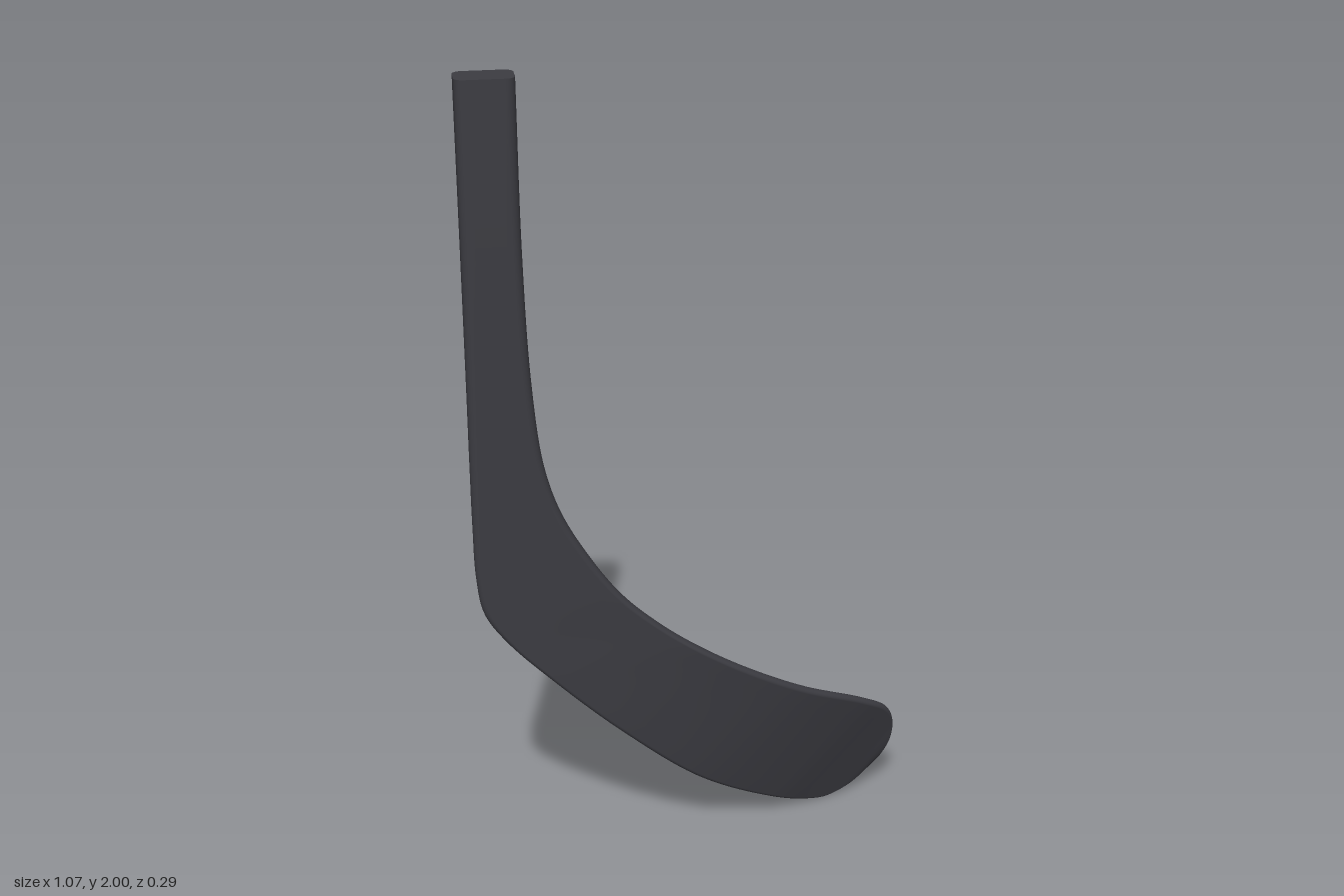
import * as THREE from 'three';

// Matching points of the two edges, from the top of the shaft to the toe
const HEEL_EDGE = [
  [-0.535, 2.0, 0.105], [-0.536, 1.6, 0.106], [-0.537, 1.3, 0.106], [-0.538, 1.1, 0.106],
  [-0.538, 0.95, 0.106], [-0.535, 0.82, 0.106], [-0.52, 0.73, 0.106], [-0.47, 0.65, 0.105],
  [-0.36, 0.53, 0.101], [-0.2, 0.37, 0.084], [0.0, 0.19, 0.037], [0.2, 0.062, -0.04],
  [0.3, 0.014, -0.088], [0.36, 0.002, -0.112], [0.42, 0.022, -0.127], [0.47, 0.064, -0.135],
  [0.492, 0.089, -0.136],
];
const INNER_EDGE = [
  [-0.405, 2.0, 0.105], [-0.403, 1.6, 0.106], [-0.392, 1.3, 0.106], [-0.37, 1.1, 0.106],
  [-0.335, 0.98, 0.106], [-0.275, 0.865, 0.105], [-0.195, 0.75, 0.103], [-0.1, 0.657, 0.097],
  [0.0, 0.58, 0.088], [0.12, 0.5, 0.066], [0.27, 0.412, 0.026], [0.44, 0.325, -0.04],
  [0.51, 0.272, -0.08], [0.532, 0.22, -0.104], [0.532, 0.165, -0.12], [0.515, 0.12, -0.13],
  [0.502, 0.1, -0.134],
];
const ROWS = 140, ARC = 6, FLAT = 8;
const { lerp, clamp } = THREE.MathUtils;

// The shaft is thick at the top, the blade thins out towards the toe
function thicknessAt(y) {
  if (y > 0.65) return 0.031 + 0.053 * ((y - 0.65) / 1.35) ** 1.15;
  return lerp(0.02, 0.031, y / 0.65);
}

// Rounded rectangle outline in (width, thickness) coordinates; thin sections are rounder
function sectionOutline(w, t) {
  const ratio = clamp(lerp(0.45, 0.25, (t - 0.031) / 0.053), 0.25, 0.45);
  const r = t * ratio;
  const hx = w / 2 - r, hy = t / 2 - r;
  const points = [];
  [[1, 1], [-1, 1], [-1, -1], [1, -1]].forEach(([sx, sy], c) => {
    for (let k = 0; k <= ARC; k++) {
      const a = (c + k / ARC) * Math.PI / 2;
      points.push([sx * hx + r * Math.cos(a), sy * hy + r * Math.sin(a)]);
    }
    // intermediate points across the two broad faces
    if (c % 2 === 0) {
      for (let k = 1; k < FLAT; k++) points.push([sx * hx * (1 - 2 * k / FLAT), sy * t / 2]);
    }
  });
  return points;
}

function bladeGeometry() {
  const rail = (edge) => new THREE.CatmullRomCurve3(edge.map((p) => new THREE.Vector3(...p)));
  const heelRail = rail(HEEL_EDGE), innerRail = rail(INNER_EDGE);
  const middle = (t) => heelRail.getPoint(t).lerp(innerRail.getPoint(t), 0.5);
  const position = [], index = [];
  let n = 0;

  // Loft rounded sections between the two edge rails
  for (let i = 0; i <= ROWS; i++) {
    const t = i / ROWS;
    const centre = middle(t);
    const across = innerRail.getPoint(t).sub(heelRail.getPoint(t));
    const width = across.length();
    across.normalize();
    const along = middle(Math.min(1, t + 0.005)).sub(middle(Math.max(0, t - 0.005)));
    const normal = along.cross(across).normalize();
    const outline = sectionOutline(width, Math.min(thicknessAt(centre.y), width * 0.8));
    n = outline.length;
    for (const [u, v] of outline) {
      const p = centre.clone().addScaledVector(across, u).addScaledVector(normal, v);
      position.push(p.x, p.y, p.z);
    }
  }
  for (let i = 0; i < ROWS; i++) {
    for (let j = 0; j < n; j++) {
      const a = i * n + j, b = i * n + (j + 1) % n;
      index.push(a, b, b + n, a, b + n, a + n);
    }
  }

  // Flat caps with their own vertices, so their rims stay sharp
  for (const row of [0, ROWS]) {
    const base = position.length / 3;
    position.push(...position.slice(row * n * 3, (row + 1) * n * 3));
    position.push(...middle(row / ROWS).toArray());
    for (let j = 0; j < n; j++) {
      const a = base + j, b = base + (j + 1) % n;
      if (row === 0) index.push(base + n, b, a);
      else index.push(base + n, a, b);
    }
  }

  const geometry = new THREE.BufferGeometry();
  geometry.setAttribute('position', new THREE.Float32BufferAttribute(position, 3));
  geometry.setIndex(index);
  geometry.computeVertexNormals();
  return geometry;
}

export function createModel() {
  const group = new THREE.Group();
  group.name = 'hockeyStickBlade';
  const blade = new THREE.Mesh(bladeGeometry(), new THREE.MeshStandardMaterial({ color: 0x3c3c42 }));
  blade.name = 'shaftAndBlade';
  group.add(blade);
  return group;
}
